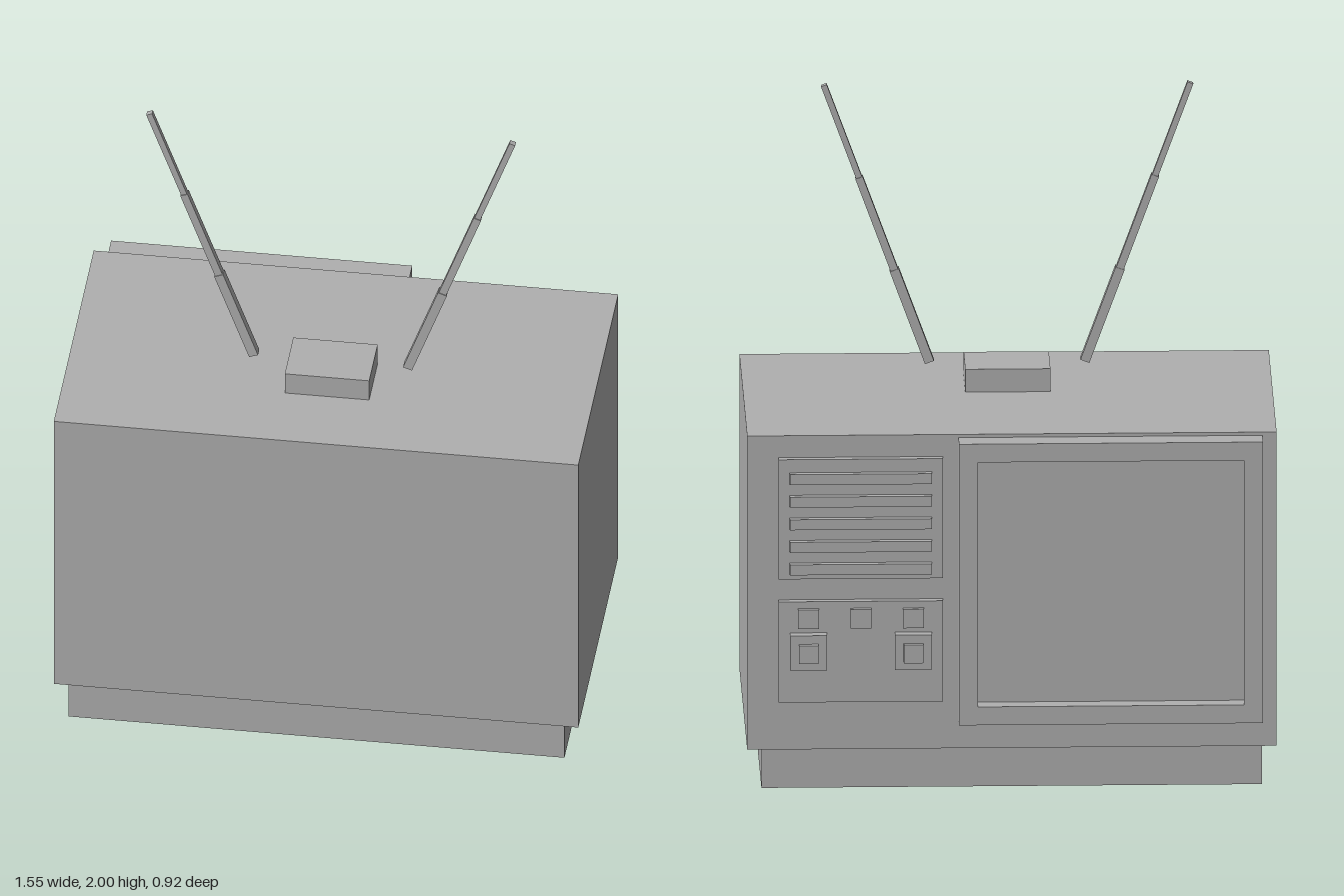
import * as THREE from 'three';

const grey = new THREE.MeshStandardMaterial({ color: 0xb0b0b0 });
grey.name = 'casing grey';

export function createModel() {
  const model = new THREE.Group();
  model.name = 'television';

  // box given by its minimum and maximum on each axis
  const box = (name, [x0, x1], [y0, y1], [z0, z1], parent = model) => {
    const mesh = new THREE.Mesh(new THREE.BoxGeometry(x1 - x0, y1 - y0, z1 - z0), grey);
    mesh.position.set((x0 + x1) / 2, (y0 + y1) / 2, (z0 + z1) / 2);
    mesh.name = name;
    parent.add(mesh);
    return mesh;
  };
  const around = (c, size) => [c - size / 2, c + size / 2];

  // cabinet
  const back = -0.39;
  box('cabinet', [-0.777, 0.777], [0.12, 1.08], [back, 0.457]);
  box('base', [-0.735, 0.735], [0, 0.12], [-0.38, 0.45]);
  box('antennaBox', [-0.125, 0.125], [1.08, 1.15], [0.045, 0.225]);

  // screen frame with a bevelled-in opening, and the recessed screen
  const rect = (target, x0, x1, y0, y1) =>
    target.moveTo(x0, y0).lineTo(x1, y0).lineTo(x1, y1).lineTo(x0, y1).closePath();
  const outline = rect(new THREE.Shape(), -0.735, 0.157, 0.21, 1.07);
  outline.holes.push(rect(new THREE.Path(), -0.68, 0.102, 0.266, 1.014));
  const frame = new THREE.Mesh(
    new THREE.ExtrudeGeometry(outline, { depth: 0.07, bevelEnabled: false }), grey);
  frame.position.z = -0.459;
  frame.name = 'screenFrame';
  model.add(frame);
  box('screen', [-0.68, 0.102], [0.266, 1.014], [-0.41, back]);

  // speaker grille
  box('speakerPanel', [0.203, 0.685], [0.647, 1.013], [-0.412, back]);
  for (let i = 0; i < 5; i++) {
    box('speakerSlat', [0.235, 0.653], around(0.957 - i * 0.069, 0.032), [-0.432, -0.412]);
  }

  // control panel with buttons and two square knobs
  box('controlPanel', [0.203, 0.685], [0.27, 0.578], [-0.412, back]);
  for (const x of [0.29, 0.444, 0.598]) {
    box('button', around(x, 0.062), [0.499, 0.557], [-0.427, -0.412]);
  }
  for (const x of [0.29, 0.598]) {
    box('knobBase', around(x, 0.108), [0.377, 0.483], [-0.443, -0.412]);
    box('knobCap', around(x, 0.058), [0.401, 0.457], [-0.459, -0.443]);
  }

  // telescopic antennas, three sections each
  for (const side of [-1, 1]) {
    const antenna = new THREE.Group();
    antenna.name = side > 0 ? 'leftAntenna' : 'rightAntenna';
    antenna.position.set(side * 0.228, 1.149, 0.136);
    antenna.rotation.z = -side * Math.atan2(0.31, 0.848);
    const length = 0.903 / 3;
    [0.028, 0.023, 0.018].forEach((w, i) => {
      box('antennaSection', around(0, w), [i * length, (i + 1) * length], around(0, w), antenna);
    });
    model.add(antenna);
  }
  return model;
}
